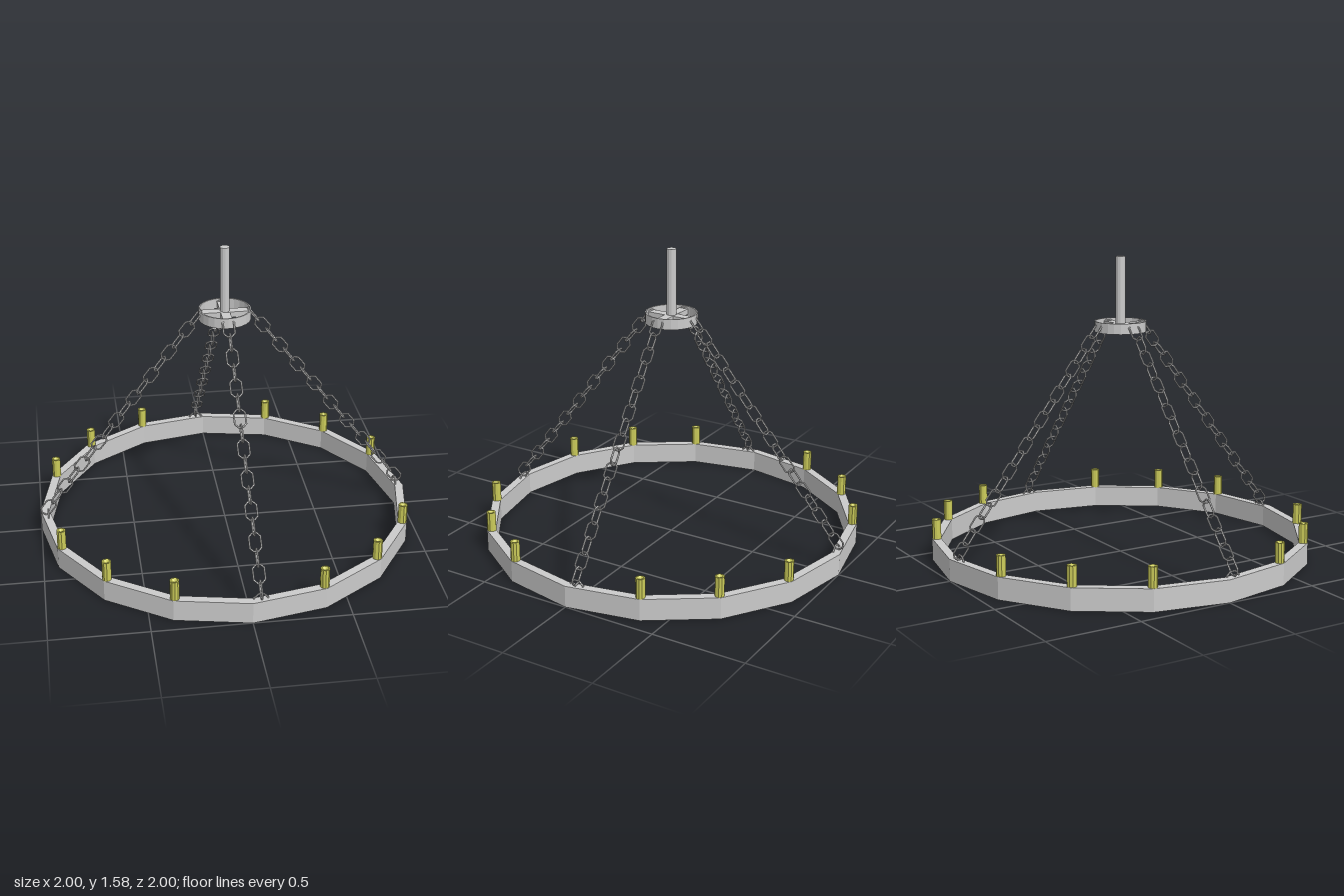
import * as THREE from 'three';

const metal = new THREE.MeshStandardMaterial({ color: 0xcccccc, flatShading: true });
const wax = new THREE.MeshStandardMaterial({ color: 0xcccc5a, flatShading: true });

function add(parent, name, geometry, material = metal) {
  const mesh = new THREE.Mesh(geometry, material);
  mesh.name = name;
  parent.add(mesh);
  return mesh;
}

function lathe(points, sides) {
  return new THREE.LatheGeometry(points.map(([r, y]) => new THREE.Vector2(r, y)), sides);
}

// Closed band with a rectangular section
function band(inner, outer, bottom, top, sides) {
  return lathe([[inner, bottom], [outer, bottom], [outer, top], [inner, top], [inner, bottom]], sides);
}

// Eight-sided ring whose halves are pulled apart along x
function linkGeometry(radius, tube, stretch) {
  const geometry = new THREE.TorusGeometry(radius, tube, 6, 8).rotateZ(Math.PI / 8);
  const p = geometry.attributes.position;
  for (let i = 0; i < p.count; i++) p.setX(i, p.getX(i) + Math.sign(p.getX(i)) * stretch);
  geometry.computeVertexNormals();
  return geometry;
}

// One chain running from the hub down to the rim on the +x side
function createChain() {
  const chain = new THREE.Group();
  const start = new THREE.Vector3(0.15, 1.2, 0);
  const end = new THREE.Vector3(0.957, 0.163, -0.044);
  const direction = end.clone().sub(start).normalize();
  const along = new THREE.Quaternion().setFromUnitVectors(new THREE.Vector3(1, 0, 0), direction);
  const geometry = linkGeometry(0.0315, 0.005, 0.016);
  const last = 17;
  for (let i = 0; i <= last; i++) {
    const link = add(chain, 'chainLink', geometry);
    link.position.lerpVectors(start, end, i / last);
    link.quaternion.copy(along);
    if (i % 2 === 0) link.rotateX(Math.PI / 2);
  }
  // Ring fixed into the rim
  const anchor = add(chain, 'chainAnchor', linkGeometry(0.038, 0.005, 0));
  anchor.position.set(0.96, 0.105, -0.045);
  anchor.rotation.y = Math.PI / 2;
  return chain;
}

export function createModel() {
  const model = new THREE.Group();
  model.name = 'chandelier';

  // Sixteen-sided rim
  add(model, 'rim', band(0.954, 1, 0, 0.115, 16));

  // Candles on every rim corner except the four that carry chains
  const candle = lathe([[0, 0], [0.024, 0], [0.024, 0.108], [0.017, 0.108], [0, 0.095]], 10);
  for (let i = 0; i < 16; i++) {
    if (i % 4 === 0) continue;
    const a = (i / 16) * Math.PI * 2;
    add(model, 'candle', candle, wax).position.set(0.975 * Math.cos(a), 0.112, 0.975 * Math.sin(a));
  }

  // Hub: thin hoop, crossed bars and hanging rod
  add(model, 'hubHoop', band(0.129, 0.136, 1.19, 1.245, 24));
  for (let i = 0; i < 2; i++) {
    const bar = add(model, 'hubBar', new THREE.BoxGeometry(0.262, 0.03 - i * 0.002, 0.048));
    bar.position.y = 1.217;
    bar.rotation.y = (i * Math.PI) / 2;
  }
  add(model, 'rod', new THREE.CylinderGeometry(0.025, 0.025, 0.37, 12)).position.y = 1.395;

  // Four chains, each a quarter turn apart
  for (let i = 0; i < 4; i++) {
    const chain = createChain();
    chain.name = 'chain';
    chain.rotation.y = (i * Math.PI) / 2;
    model.add(chain);
  }
  return model;
}
